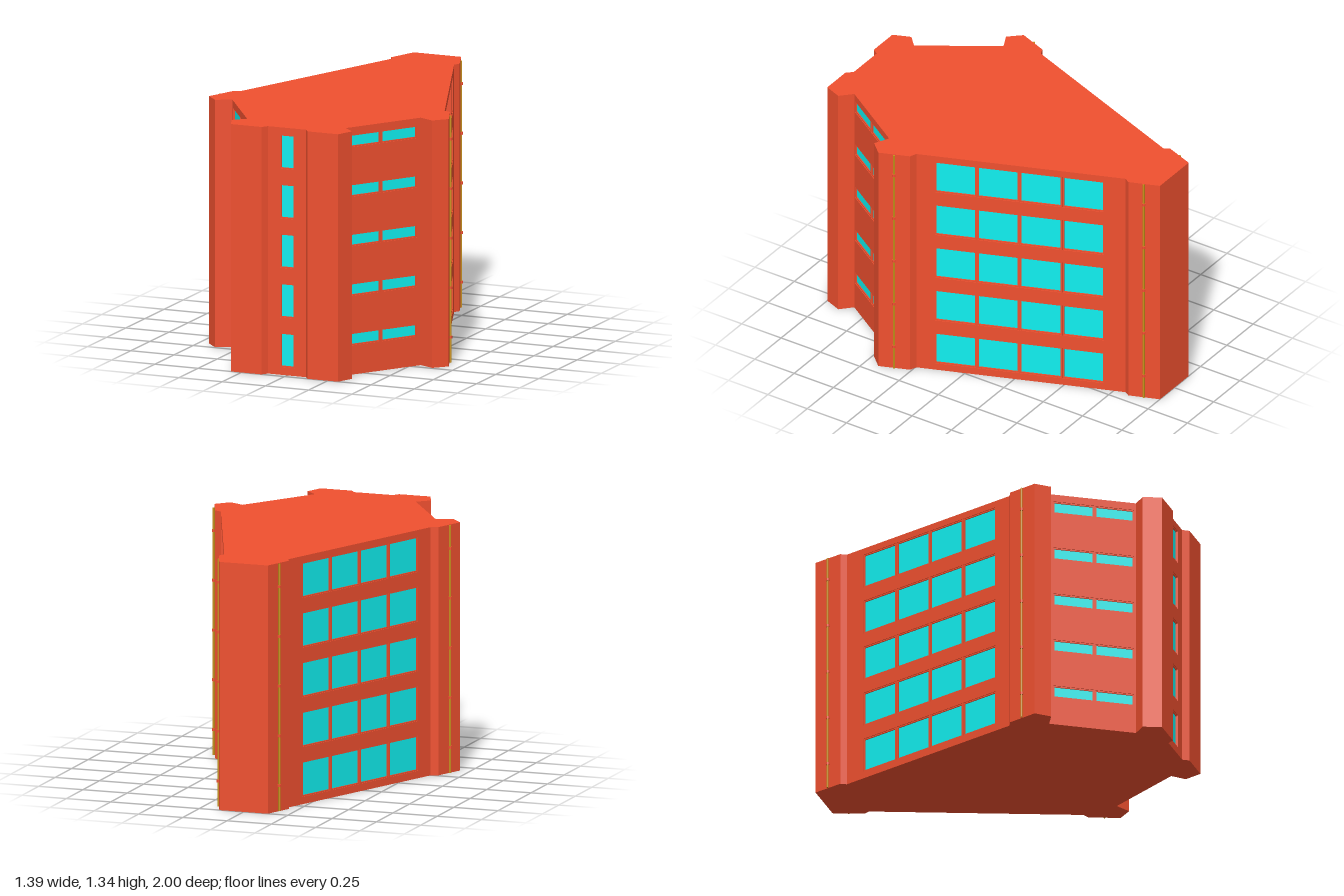
import * as THREE from 'three';

const H = 1.34, FLOORS = 5, STOREY = 0.2685, DEPTH = 0.014;
const mat = (color) => new THREE.MeshStandardMaterial({ color, flatShading: true });
const brick = mat(0xf0502f), glass = mat(0x10f0f0), brass = mat(0xc8901a);

// Right half of the floor plan as [x, z], front to back
const HALF = [
  [0.11, 0.967], [0.133, 1], [0.31, 1], [0.348, 0.905], [0.285, 0.845],
  [0.545, 0.45], [0.628, 0.49], [0.693, 0.42], [0.63, 0.26], [0.592, 0.245],
  [0.18, -0.81], [0.198, -0.84], [0.137, -1],
];
const flip = ([x, z]) => [-x, z];
const PLAN = [...HALF, ...HALF.map(flip).reverse()];

// Windows of each wall type: spans along the wall (0..1), sill and head height
const FRONT = { spans: [[0.31, 0.69]], sill: 0.042, head: 0.228 };
const FACADE = { spans: [[0.02, 0.468], [0.482, 0.95]], sill: 0.158, head: 0.226 };
const SIDE = {
  spans: [0, 1, 2, 3].map((i) => [0.088 + i * 0.2038, 0.286 + i * 0.2038]),
  sill: 0.04, head: 0.23,
};
const mirrored = (w) => ({ ...w, spans: w.spans.map(([a, b]) => [1 - b, 1 - a]) });
const last = PLAN.length - 1;
const WALLS = new Map([
  [last, FRONT], [4, FACADE], [9, SIDE],
  [last - 1 - 4, mirrored(FACADE)], [last - 1 - 9, mirrored(SIDE)],
]);

function add(parent, name, geometry, material) {
  const mesh = new THREE.Mesh(geometry, material);
  mesh.name = name;
  parent.add(mesh);
  return mesh;
}

function rect(Type, x0, y0, x1, y1) {
  return new Type([[x0, y0], [x1, y0], [x1, y1], [x0, y1]].map((p) => new THREE.Vector2(...p)));
}

const extrude = (shape, depth) => new THREE.ExtrudeGeometry(shape, { depth, bevelEnabled: false });

// Pierced wall skin with a framed pane in every opening; outer face at local z = 0
function windowWall(p, q, { spans, sill, head }) {
  const wall = new THREE.Group();
  const dx = q[0] - p[0], dz = q[1] - p[1], len = Math.hypot(dx, dz);
  wall.name = 'windowWall';
  wall.position.set(p[0], 0, p[1]);
  wall.rotation.y = Math.atan2(-dz, dx);
  const skin = rect(THREE.Shape, 0, 0, len, H);
  const f = 0.007;
  for (let i = 0; i < FLOORS; i++) {
    const y0 = sill + i * STOREY, y1 = head + i * STOREY;
    for (const [a, b] of spans) {
      const x0 = a * len, x1 = b * len;
      skin.holes.push(rect(THREE.Path, x0, y0, x1, y1));
      const ring = rect(THREE.Shape, x0, y0, x1, y1);
      ring.holes.push(rect(THREE.Path, x0 + f, y0 + f, x1 - f, y1 - f));
      add(wall, 'windowFrame', extrude(ring, DEPTH - 0.004), brick).position.z = -DEPTH;
      const pane = new THREE.PlaneGeometry(x1 - x0 - 2 * f, y1 - y0 - 2 * f);
      add(wall, 'windowPane', pane, glass)
        .position.set((x0 + x1) / 2, (y0 + y1) / 2, -DEPTH + 0.004);
    }
  }
  add(wall, 'wallSkin', extrude(skin, DEPTH), brick).position.z = -DEPTH;
  return wall;
}

// Drainpipe with a clamp at each storey
function drainpipe(x, z) {
  const pipe = new THREE.Group();
  pipe.name = 'drainpipe';
  pipe.position.set(x, 0, z);
  add(pipe, 'pipe', new THREE.CylinderGeometry(0.006, 0.006, H - 0.004, 8), brass).position.y = H / 2;
  for (let i = 0; i < FLOORS; i++) {
    add(pipe, 'pipeClamp', new THREE.CylinderGeometry(0.01, 0.01, 0.014, 8), brick)
      .position.y = 0.14 + i * STOREY;
  }
  return pipe;
}

export function createModel() {
  const model = new THREE.Group();
  model.name = 'building';

  // Solid core, set back behind the walls that carry windows
  const core = [];
  PLAN.forEach((p, i) => {
    const q = PLAN[(i + 1) % PLAN.length];
    core.push(p);
    if (!WALLS.has(i)) return;
    const dx = q[0] - p[0], dz = q[1] - p[1], len = Math.hypot(dx, dz);
    const nx = (dz / len) * DEPTH, nz = (-dx / len) * DEPTH;
    core.push([p[0] + nx, p[1] + nz], [q[0] + nx, q[1] + nz]);
    model.add(windowWall(p, q, WALLS.get(i)));
  });
  const shape = new THREE.Shape(core.map(([x, z]) => new THREE.Vector2(x, -z)));
  add(model, 'buildingCore', extrude(shape, H).rotateX(-Math.PI / 2), brick);

  // Drainpipes on the wings and rear corners, both sides
  for (const s of [1, -1]) {
    model.add(drainpipe(s * 0.667, 0.338), drainpipe(s * 0.172, -0.92));
  }
  return model;
}
